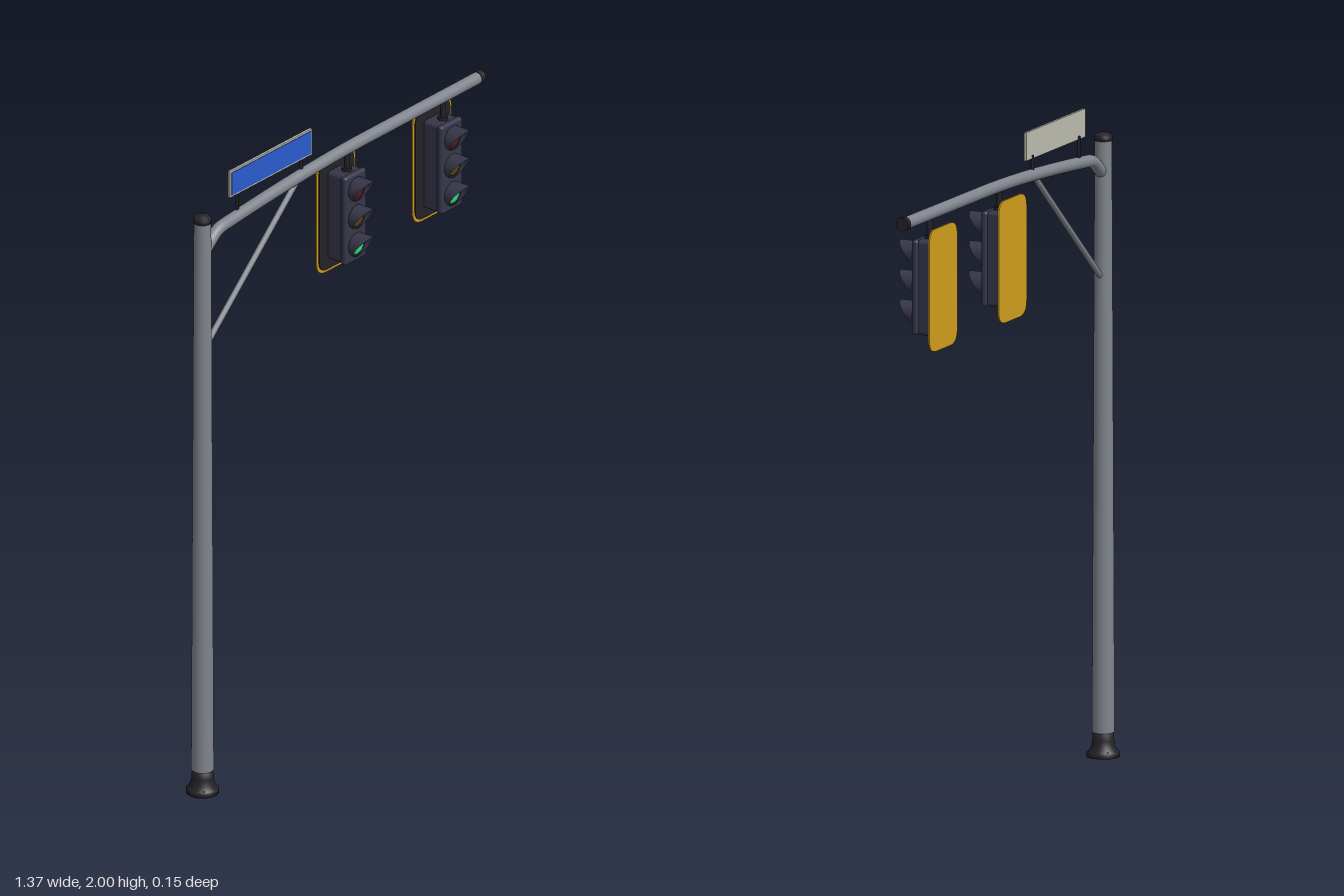
import * as THREE from 'three';
import { RoundedBoxGeometry } from 'three/addons/geometries/RoundedBoxGeometry.js';

const mat = (color, side = THREE.FrontSide) => new THREE.MeshStandardMaterial({ color, side });
const steel = mat(0x80848c), dark = mat(0x222228), housingMat = mat(0x36364a);
const visorMat = mat(0x36364a, THREE.DoubleSide);
const yellow = mat(0xd09c1c), blue = mat(0x2a5ccc), pale = mat(0xbdbbb0);
const lensMats = [mat(0x5a1c20), mat(0x5e4614), mat(0x2ee880)];

const AXIS_Z = -0.025, POLE_X = -0.638, ARM_Y = 1.874;

function add(parent, name, geometry, material, x = 0, y = 0, z = 0) {
  const mesh = new THREE.Mesh(geometry, material);
  mesh.name = name;
  mesh.position.set(x, y, z);
  parent.add(mesh);
  return mesh;
}

function lathe(points, segments = 32) {
  return new THREE.LatheGeometry(points.map(([r, y]) => new THREE.Vector2(r, y)), segments);
}

// Rounded rectangular plate, back face on z = 0
function plate(w, h, r, depth) {
  const s = new THREE.Shape(), a = w / 2, b = h / 2;
  s.moveTo(-a + r, -b);
  s.lineTo(a - r, -b).quadraticCurveTo(a, -b, a, -b + r);
  s.lineTo(a, b - r).quadraticCurveTo(a, b, a - r, b);
  s.lineTo(-a + r, b).quadraticCurveTo(-a, b, -a, b - r);
  s.lineTo(-a, -b + r).quadraticCurveTo(-a, -b, -a + r, -b);
  return new THREE.ExtrudeGeometry(s, { depth, bevelEnabled: false, curveSegments: 8 });
}

// Tube hood, longest at the top and swept back towards the bottom
function visorGeometry(radius, length) {
  const g = new THREE.CylinderGeometry(radius, radius, 1, 32, 4, true);
  g.rotateX(Math.PI / 2);
  const p = g.attributes.position;
  for (let i = 0; i < p.count; i++) {
    const k = Math.pow(Math.max(0, 0.5 + p.getY(i) / (2 * radius)), 1.25);
    p.setZ(i, (p.getZ(i) + 0.5) * (0.006 + (length - 0.006) * k));
  }
  g.computeVertexNormals();
  return g;
}

function createPole() {
  const g = new THREE.Group();
  g.name = 'pole';
  g.position.set(POLE_X, 0, AXIS_Z);
  add(g, 'poleShaft', new THREE.CylinderGeometry(0.026, 0.034, 1.81, 32), steel, 0, 0.98, 0);
  add(g, 'poleBase', lathe([[0, 0], [0.05, 0], [0.05, 0.012], [0.046, 0.016], [0.036, 0.03],
    [0.033, 0.05], [0.031, 0.08], [0, 0.08]]), dark);
  add(g, 'poleCap', lathe([[0, 1.88], [0.028, 1.88], [0.028, 1.892], [0.022, 1.901], [0, 1.906]]), dark);
  for (let i = 0; i < 8; i++) {
    const a = (i / 8) * Math.PI * 2;
    add(g, 'baseBolt', new THREE.CylinderGeometry(0.003, 0.003, 0.008, 6), steel,
      Math.cos(a) * 0.043, 0.016, Math.sin(a) * 0.043);
  }
  return g;
}

function createArm() {
  const g = new THREE.Group();
  g.name = 'mastArm';
  g.position.z = AXIS_Z;
  const at = (x, y) => new THREE.Vector3(x, y, 0);
  // Short elbow from the pole, then a long shallow rise
  const path = new THREE.CurvePath();
  path.add(new THREE.LineCurve3(at(-0.635, 1.777), at(-0.585, 1.817)));
  path.add(new THREE.QuadraticBezierCurve3(at(-0.585, 1.817), at(-0.566, 1.832), at(-0.54, 1.834)));
  path.add(new THREE.CubicBezierCurve3(at(-0.54, 1.834), at(-0.3, 1.856), at(-0.1, 1.869), at(0.1, 1.872)));
  path.add(new THREE.LineCurve3(at(0.1, 1.872), at(0.67, ARM_Y)));
  add(g, 'arm', new THREE.TubeGeometry(path, 120, 0.019, 20), steel);
  add(g, 'armEndCap', new THREE.CylinderGeometry(0.021, 0.021, 0.018, 24), dark, 0.674, ARM_Y, 0)
    .rotation.z = Math.PI / 2;
  const brace = new THREE.LineCurve3(at(-0.62, 1.468), at(-0.19, 1.85));
  add(g, 'brace', new THREE.TubeGeometry(brace, 1, 0.0095, 12), steel);
  return g;
}

function createSign() {
  const g = new THREE.Group();
  g.name = 'streetSign';
  g.position.set(-0.318, 1.957, AXIS_Z);
  add(g, 'signPlate', new THREE.BoxGeometry(0.388, 0.086, 0.008), pale);
  add(g, 'signFace', new THREE.BoxGeometry(0.376, 0.074, 0.004), blue, 0, 0, 0.004);
  for (const s of [-1, 1]) {
    add(g, 'signPost', new THREE.CylinderGeometry(0.005, 0.005, 0.085, 10), dark, s * 0.152, -0.075, -0.003);
  }
  return g;
}

function createSignal(x) {
  const g = new THREE.Group();
  g.name = 'trafficSignal';
  g.position.set(x, 1.654, 0);
  // Yellow plate behind a slightly smaller dark one
  add(g, 'backPlate', plate(0.184, 0.374, 0.045, 0.005), yellow, 0, 0, -0.071);
  add(g, 'frontPlate', plate(0.166, 0.356, 0.038, 0.004), dark, 0, 0, -0.067);
  add(g, 'housing', new RoundedBoxGeometry(0.09, 0.29, 0.068, 3, 0.012), housingMat, 0, 0, -0.034);
  add(g, 'housingDoor', new RoundedBoxGeometry(0.102, 0.29, 0.022, 3, 0.009), housingMat, 0, 0, 0.001);
  add(g, 'hanger', new THREE.CylinderGeometry(0.009, 0.009, 0.085, 12), dark, 0, 0.175, AXIS_Z);
  add(g, 'hangerCollar', new THREE.CylinderGeometry(0.016, 0.016, 0.012, 16), dark, 0, 0.149, AXIS_Z);
  lensMats.forEach((m, i) => {
    const y = 0.094 - i * 0.0915;
    add(g, 'lensRim', new THREE.CylinderGeometry(0.038, 0.038, 0.004, 32), dark, 0, y, 0.0125)
      .rotation.x = Math.PI / 2;
    const lens = add(g, 'lens', new THREE.SphereGeometry(0.031, 28, 10, 0, Math.PI * 2, 0, Math.PI / 2), m, 0, y, 0.0145);
    lens.rotation.x = Math.PI / 2;
    lens.scale.y = 0.28;
    add(g, 'visor', visorGeometry(0.038, 0.06), visorMat, 0, y, 0.011);
  });
  return g;
}

export function createModel() {
  const model = new THREE.Group();
  model.name = 'trafficLightMast';
  model.add(createPole(), createArm(), createSign());
  for (const x of [0.047, 0.503]) model.add(createSignal(x));
  return model;
}
